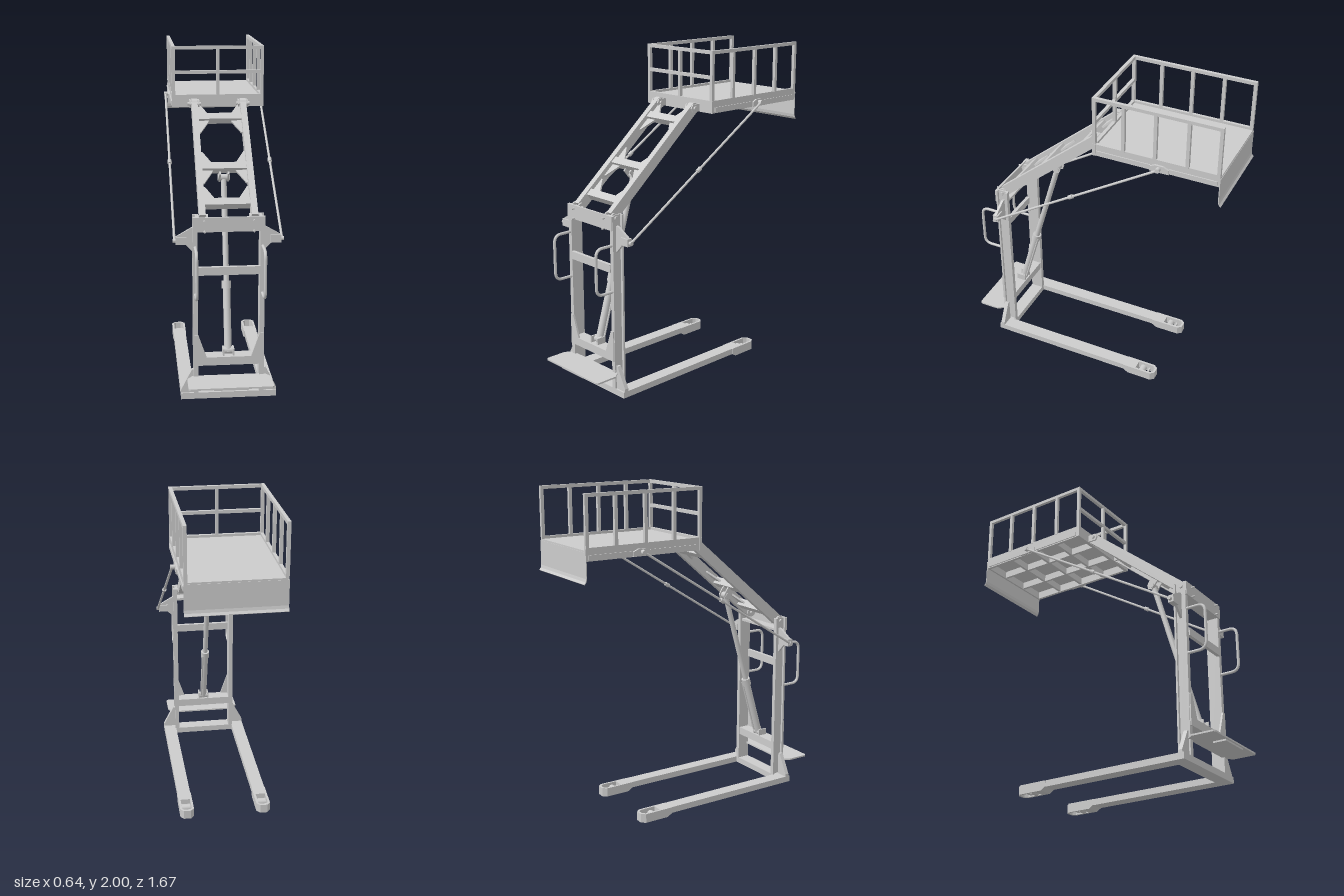
import * as THREE from 'three';

const mat = new THREE.MeshStandardMaterial({ color: 0xcccccc, flatShading: true, side: THREE.DoubleSide });
const smooth = new THREE.MeshStandardMaterial({ color: 0xcccccc });

function add(parent, name, geo, m = mat) {
  const mesh = new THREE.Mesh(geo, m);
  mesh.name = name;
  parent.add(mesh);
  return mesh;
}

// Box given by its min/max on each axis
function box(parent, name, x0, x1, y0, y1, z0, z1) {
  const b = add(parent, name, new THREE.BoxGeometry(Math.abs(x1 - x0), y1 - y0, z1 - z0));
  b.position.set((x0 + x1) / 2, (y0 + y1) / 2, (z0 + z1) / 2);
  return b;
}

function shapeOf(pts) {
  return new THREE.Shape(pts.map(p => new THREE.Vector2(p[0], p[1])));
}

// Outline in x,y extruded from z0 to z1
function plate(parent, name, pts, z0, z1) {
  const g = new THREE.ExtrudeGeometry(shapeOf(pts), { depth: z1 - z0, bevelEnabled: false });
  g.translate(0, 0, z0);
  return add(parent, name, g);
}

// Outline in x,z (with optional hole) extruded from y0 to y1
function slab(parent, name, pts, y0, y1, hole) {
  const s = shapeOf(pts.map(p => [p[0], -p[1]]));
  if (hole) s.holes.push(new THREE.Path(hole.map(p => new THREE.Vector2(p[0], -p[1]))));
  const g = new THREE.ExtrudeGeometry(s, { depth: y1 - y0, bevelEnabled: false });
  g.rotateX(-Math.PI / 2);
  g.translate(0, y0, 0);
  return add(parent, name, g);
}

// Outline in z,y extruded from x0 to x1
function sidePlate(parent, name, pts, x0, x1) {
  const g = new THREE.ExtrudeGeometry(shapeOf(pts.map(p => [-p[0], p[1]])), { depth: Math.abs(x1 - x0), bevelEnabled: false });
  g.rotateY(Math.PI / 2);
  g.translate(Math.min(x0, x1), 0, 0);
  return add(parent, name, g);
}

// Cylinder between two points
function rod(parent, name, a, b, r, sides = 16) {
  const A = new THREE.Vector3(...a), B = new THREE.Vector3(...b), d = B.clone().sub(A);
  const m = add(parent, name, new THREE.CylinderGeometry(r, r, d.length(), sides), smooth);
  m.position.copy(A).add(B).multiplyScalar(0.5);
  m.quaternion.setFromUnitVectors(new THREE.Vector3(0, 1, 0), d.normalize());
  return m;
}

function group(parent, name) {
  const g = new THREE.Group();
  g.name = name;
  parent.add(g);
  return g;
}

function buildBase(root) {
  const g = group(root, 'base');
  box(g, 'baseCrossbar', -0.28, 0.28, 0.02, 0.058, 0.58, 0.66);
  for (const s of [-1, 1]) {
    box(g, 'leg', s * 0.2, s * 0.28, 0.02, 0.058, -0.3, 0.66);
    // Foot with open roller well
    sidePlate(g, 'footRamp', [[-0.27, 0.02], [-0.3, 0.002], [-0.31, 0.002], [-0.31, 0.058], [-0.27, 0.058]], s * 0.197, s * 0.283);
    slab(g, 'foot', [[s * 0.197, -0.3], [s * 0.283, -0.3], [s * 0.283, -0.455], [s * 0.262, -0.48], [s * 0.218, -0.48], [s * 0.197, -0.455]],
      0.002, 0.058, [[s * 0.21, -0.35], [s * 0.27, -0.35], [s * 0.27, -0.45], [s * 0.255, -0.467], [s * 0.225, -0.467], [s * 0.21, -0.45]]);
    rod(g, 'roller', [s * 0.213, 0.022, -0.385], [s * 0.267, 0.022, -0.385], 0.022);
    box(g, 'wellBar', s * 0.21, s * 0.27, 0.01, 0.03, -0.43, -0.42);
    // Gusset bracing the mast foot
    plate(g, 'mastGusset', [[s * 0.2, 0.055], [s * 0.28, 0.055], [s * 0.28, 0.075], [s * 0.215, 0.2], [s * 0.2, 0.2]], 0.625, 0.65);
  }
  // Operator step
  slab(g, 'step', [[-0.21, 0.645], [0.21, 0.645], [0.245, 0.69], [0.245, 0.82], [0.235, 0.83], [-0.235, 0.83], [-0.245, 0.82], [-0.245, 0.69]], 0.15, 0.16);
  box(g, 'stepLip', -0.1, 0.1, 0.14, 0.15, 0.74, 0.82);
}

function buildMast(root) {
  const g = group(root, 'mast');
  for (const s of [-1, 1]) {
    // Channel post
    box(g, 'postWeb', s * 0.178, s * 0.19, 0.055, 1.12, 0.58, 0.66);
    for (const z of [0.58, 0.648]) box(g, 'postFlange', s * 0.188, s * 0.205, 0.055, 1.12, z, z + 0.012);
    // Outrigger carrying the levelling rod
    plate(g, 'rodBracket', [[s * 0.185, 0.89], [s * 0.245, 0.955], [s * 0.3, 0.955], [s * 0.3, 1.0], [s * 0.205, 1.055], [s * 0.185, 1.055]], 0.61, 0.625);
    box(g, 'rodBracketEnd', s * 0.24, s * 0.3, 0.955, 1.0, 0.6, 0.635);
    rod(g, 'rodPin', [s * 0.28, 0.975, 0.615], [s * 0.317, 0.975, 0.615], 0.012);
    // Grab handle
    const P = (z, y) => new THREE.Vector3(s * 0.192, y, z);
    const path = new THREE.CurvePath();
    path.add(new THREE.LineCurve3(P(0.655, 0.945), P(0.73, 0.945)));
    path.add(new THREE.QuadraticBezierCurve3(P(0.73, 0.945), P(0.778, 0.945), P(0.778, 0.895)));
    path.add(new THREE.LineCurve3(P(0.778, 0.895), P(0.778, 0.715)));
    path.add(new THREE.QuadraticBezierCurve3(P(0.778, 0.715), P(0.778, 0.665), P(0.73, 0.665)));
    path.add(new THREE.LineCurve3(P(0.73, 0.665), P(0.655, 0.665)));
    add(g, 'handle', new THREE.TubeGeometry(path, 60, 0.009, 10), smooth);
    for (const y of [1.04, 1.1]) rod(g, 'hookPin', [s * 0.14, y, 0.655], [s * 0.14, y, 0.687], 0.006, 8);
    // Boom pivot lugs
    for (const x of [0.118, 0.172]) {
      const lug = rod(g, 'boomLug', [s * x, 1.1, 0.625], [s * (x + 0.01), 1.1, 0.625], 0.03);
      lug.material = mat;
    }
    rod(g, 'boomPin', [s * 0.105, 1.1, 0.625], [s * 0.2, 1.1, 0.625], 0.012);
  }
  // Cross members
  plate(g, 'lowerYoke', [[-0.2, 0.23], [0.2, 0.23], [0.2, 0.42], [0.178, 0.42], [0.13, 0.28], [-0.13, 0.28], [-0.178, 0.42], [-0.2, 0.42]], 0.655, 0.667);
  box(g, 'lowerBeam', -0.18, 0.18, 0.23, 0.28, 0.585, 0.656);
  box(g, 'middleBeam', -0.18, 0.18, 0.78, 0.828, 0.645, 0.667);
  box(g, 'topBeam', -0.203, 0.203, 1.035, 1.12, 0.655, 0.667);
  box(g, 'topBeamFlange', -0.18, 0.18, 1.035, 1.05, 0.59, 0.66);
}

function buildBoom(root) {
  // Local y runs along the boom, local z faces up and forward
  const g = group(root, 'boom');
  g.position.set(0, 1.13, 0.59);
  g.rotation.x = -0.866;
  for (const s of [-1, 1]) {
    box(g, 'boomRail', s * 0.13, s * 0.167, -0.04, 0.79, -0.032, 0.032);
    const knuckle = rod(g, 'knuckle', [s * 0.13, 0.805, 0], [s * 0.167, 0.805, 0], 0.034, 12);
    knuckle.material = mat;
  }
  for (const y of [0.06, 0.315, 0.69]) {
    box(g, 'boomCrossbar', -0.131, 0.131, y - 0.023, y + 0.023, -0.024, 0.024);
    for (const s of [-1, 1]) for (const d of [-1, 1]) {
      const e = y + d * 0.02, far = y + d * 0.115;
      if (far > 0) plate(g, 'boomGusset', [[s * 0.132, e], [s * 0.065, e], [s * 0.075, e + d * 0.02], [s * 0.122, far], [s * 0.132, far]], -0.006, 0.006);
    }
  }
}

function buildRam(root) {
  const g = group(root, 'hydraulicRam');
  const at = t => [0, 0.29 + 0.97 * t, 0.612 - 0.287 * t];
  rod(g, 'barrel', at(0), at(0.4), 0.022);
  rod(g, 'collar', at(0.365), at(0.41), 0.028);
  rod(g, 'piston', at(0.4), at(1), 0.017);
  rod(g, 'hydraulicPipe', [0.018, 0.31, 0.585], [0.018, 0.66, 0.482], 0.006, 8);
  rod(g, 'lowerEye', [-0.03, 0.3, 0.61], [0.03, 0.3, 0.61], 0.022);
  rod(g, 'upperEye', [-0.035, 1.27, 0.322], [0.035, 1.27, 0.322], 0.02);
  for (const s of [-1, 1]) {
    sidePlate(g, 'upperLug', [[0.375, 1.3], [0.325, 1.243], [0.3, 1.25], [0.292, 1.275], [0.305, 1.298], [0.335, 1.34]], s * 0.02, s * 0.03);
    sidePlate(g, 'lowerLug', [[0.65, 0.27], [0.59, 0.27], [0.59, 0.32], [0.65, 0.32]], s * 0.024, s * 0.034);
  }
}

function buildRods(root) {
  const g = group(root, 'levellingRods');
  for (const s of [-1, 1]) {
    const x = s * 0.307;
    rod(g, 'levellingRod', [x, 0.975, 0.615], [x, 1.655, -0.465], 0.0075, 12);
    rod(g, 'turnbuckle', [x, 1.307, 0.088], [x, 1.323, 0.063], 0.013, 12);
    rod(g, 'upperRodPin', [s * 0.27, 1.655, -0.465], [s * 0.317, 1.655, -0.465], 0.014);
  }
}

function buildPlatform(root) {
  const g = group(root, 'platform');
  box(g, 'deck', -0.28, 0.28, 1.68, 1.69, -0.82, -0.057);
  box(g, 'frontRim', -0.283, 0.283, 1.63, 1.705, -0.075, -0.055);
  box(g, 'rearRim', -0.28, 0.28, 1.63, 1.69, -0.82, -0.805);
  // Under-deck grid
  for (const x of [-0.095, 0.095]) box(g, 'joist', x - 0.008, x + 0.008, 1.635, 1.681, -0.81, -0.07);
  for (const z of [-0.25, -0.435, -0.62]) box(g, 'crossJoist', -0.27, 0.27, 1.635, 1.681, z - 0.008, z + 0.008);
  // Guard rails, open at the rear
  const t = 0.01;
  for (const s of [-1, 1]) {
    box(g, 'sideRim', s * 0.262, s * 0.28, 1.63, 1.705, -0.82, -0.056);
    box(g, 'sideRail', s * 0.262, s * 0.282, 1.98, 2.0, -0.82, -0.055);
    for (const z of [-0.065, -0.243, -0.435, -0.627, -0.81]) box(g, 'sidePost', s * 0.262, s * 0.282, 1.7, 1.985, z - t, z + t);
    for (const [z0, z1] of [[-0.41, -0.08], [-0.805, -0.525]]) box(g, 'sideStrip', s * 0.278, s * 0.286, 1.637, 1.665, z0, z1);
    sidePlate(g, 'rodMount', [[-0.41, 1.632], [-0.525, 1.632], [-0.525, 1.66], [-0.49, 1.675], [-0.44, 1.675], [-0.41, 1.66]], s * 0.278, s * 0.292);
    // Hinge clevis to the boom
    for (const x of [0.118, 0.17]) sidePlate(g, 'hingeLug', [[-0.06, 1.632], [0.0, 1.632], [0.012, 1.655], [0.0, 1.678], [-0.06, 1.678]], s * x, s * (x + 0.009));
    rod(g, 'hingePin', [s * 0.108, 1.655, -0.015], [s * 0.19, 1.655, -0.015], 0.011);
  }
  for (const y of [1.842, 1.99]) box(g, 'frontRail', -0.28, 0.28, y - t, y + t, -0.075, -0.055);
  box(g, 'frontPost', -t, t, 1.7, 1.985, -0.075, -0.055);
  // Rear flap with curled lip
  sidePlate(g, 'rearFlap', [[-0.817, 1.68], [-0.817, 1.535], [-0.821, 1.516], [-0.833, 1.502], [-0.836, 1.505], [-0.826, 1.518], [-0.822, 1.535], [-0.822, 1.68]], -0.283, 0.283);
}

export function createModel() {
  const root = new THREE.Group();
  root.name = 'liftPlatform';
  for (const build of [buildBase, buildMast, buildBoom, buildRam, buildRods, buildPlatform]) build(root);
  return root;
}
